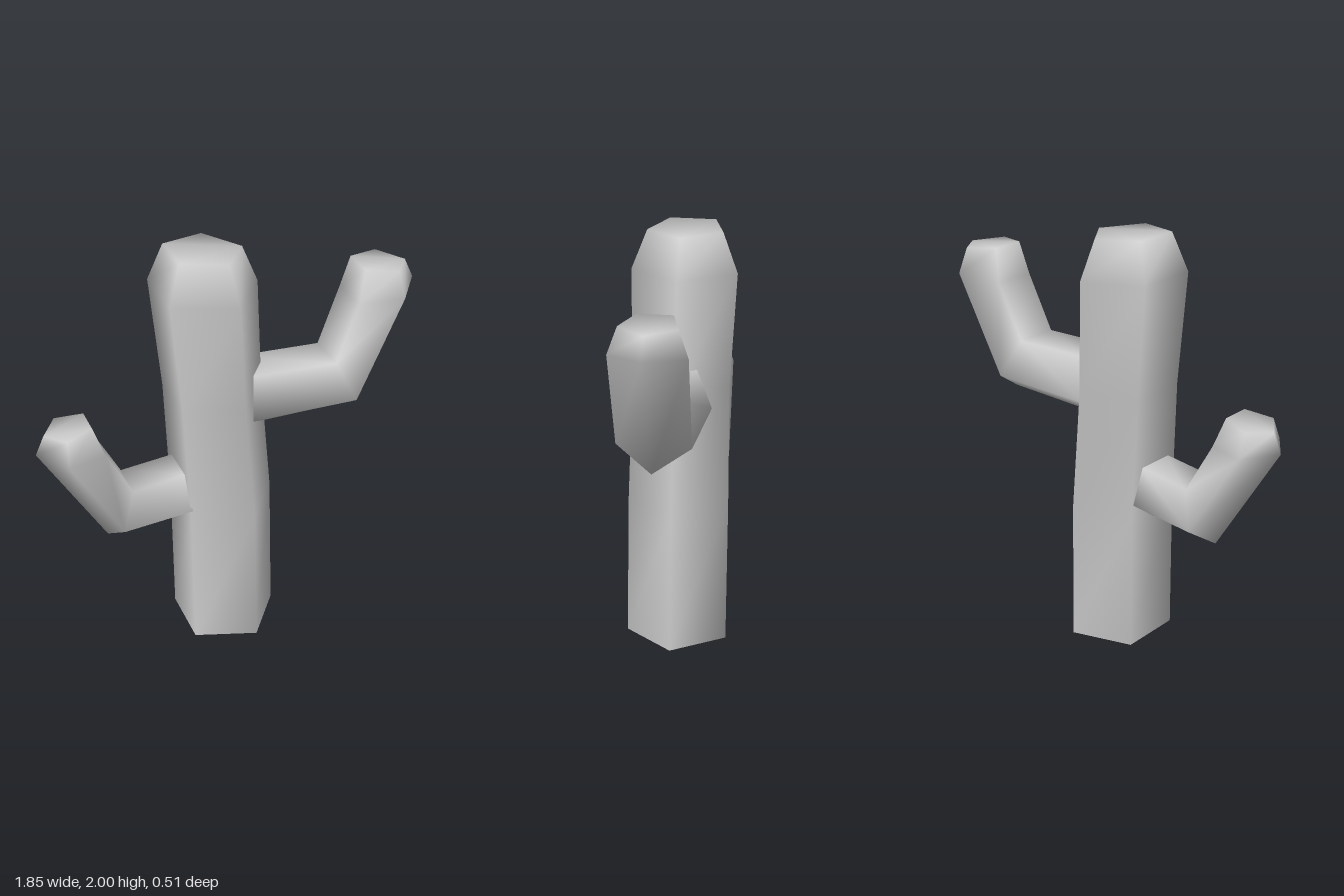
import * as THREE from 'three';

const SIDES = 5;
const material = new THREE.MeshStandardMaterial({ color: 0xcccccc, side: THREE.DoubleSide });

// Skins a stem through five-sided rings, open at its base and capped at its tip.
// Each ring is [corner x, corner y, opposite flat x, opposite flat y, centre z].
// turn is 1 or -1 and keeps the faces outward for stems on either side.
function stem(name, rings, turn = 1) {
  const positions = [];
  const index = [];
  const reach = 1 + Math.cos(Math.PI / SIDES); // corner to flat, in radii
  for (const [ox, oy, ix, iy, z] of rings) {
    const ux = (ox - ix) / reach;
    const uy = (oy - iy) / reach;
    const radius = Math.hypot(ux, uy);
    for (let i = 0; i < SIDES; i++) {
      const a = (i / SIDES) * Math.PI * 2;
      const c = Math.cos(a) - 1;
      positions.push(ox + ux * c, oy + uy * c, z + turn * radius * Math.sin(a));
    }
  }
  const tri = (a, b, c) => (turn > 0 ? index.push(a, b, c) : index.push(a, c, b));

  // Side walls
  for (let k = 0; k < rings.length - 1; k++) {
    for (let i = 0; i < SIDES; i++) {
      const a = k * SIDES + i;
      const b = k * SIDES + ((i + 1) % SIDES);
      tri(a, a + SIDES, b);
      tri(b, a + SIDES, b + SIDES);
    }
  }
  // Tip cap
  const tip = (rings.length - 1) * SIDES;
  for (let i = 1; i < SIDES - 1; i++) tri(tip, tip + i + 1, tip + i);

  const geometry = new THREE.BufferGeometry();
  geometry.setAttribute('position', new THREE.Float32BufferAttribute(positions, 3));
  geometry.setIndex(index);
  geometry.computeVertexNormals();
  const mesh = new THREE.Mesh(geometry, material);
  mesh.name = name;
  return mesh;
}

export function createModel() {
  const cactus = new THREE.Group();
  cactus.name = 'cactus';

  // Trunk, leaning slightly and narrowing at the top
  cactus.add(stem('trunk', [
    [0.23, 0, -0.235, 0, 0.012],
    [0.215, 0.7, -0.243, 0.7, 0.005],
    [0.165, 1.28, -0.27, 1.28, 0],
    [0.145, 1.8, -0.32, 1.82, -0.01],
    [0.07, 1.98, -0.26, 2.0, -0.01],
  ]));

  // Upper arm: root, elbow, shoulder of the tip, tip
  cactus.add(stem('leftArm', [
    [0.04, 1.07, 0.08, 1.385, 0.01],
    [0.625, 1.08, 0.49, 1.37, 0.01],
    [0.925, 1.68, 0.605, 1.64, -0.015],
    [0.88, 1.775, 0.64, 1.797, -0.015],
  ]));

  // Lower arm
  cactus.add(stem('rightArm', [
    [-0.235, 0.643, -0.235, 0.927, 0.01],
    [-0.61, 0.62, -0.505, 0.895, 0.01],
    [-0.925, 1.15, -0.632, 1.135, 0.03],
    [-0.885, 1.24, -0.68, 1.275, 0.03],
  ], -1));

  return cactus;
}
